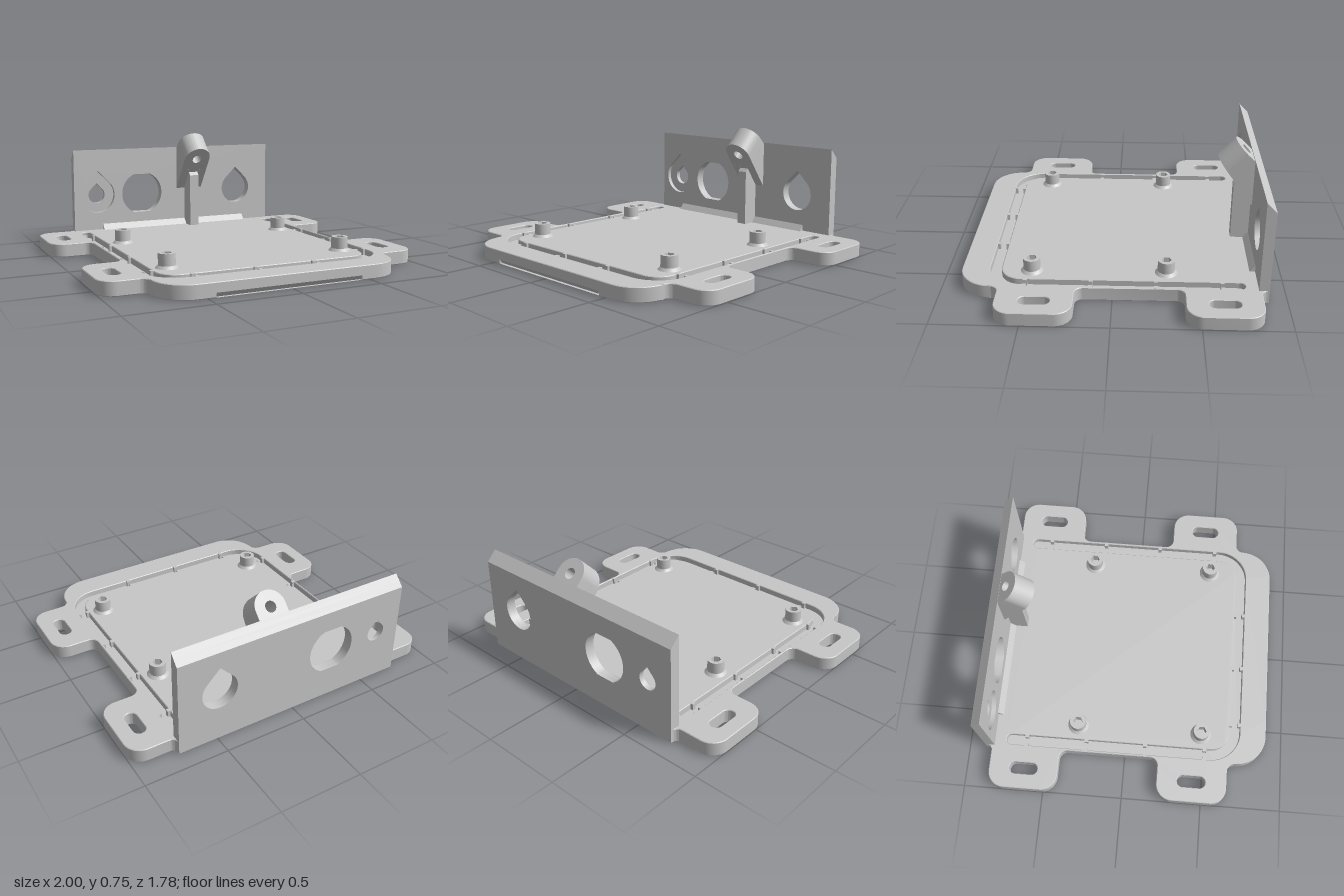
import * as THREE from 'three';
import { toCreasedNormals } from 'three/addons/utils/BufferGeometryUtils.js';

const R2 = Math.SQRT2;
const TOP = 0.084; // upper face of the base plate

// Closed outline with right-angled corners rounded; points are [x, y, radius]
function rounded(points, Type = THREE.Shape) {
  const path = new Type();
  const n = points.length;
  const at = i => new THREE.Vector2(points[(i + n) % n][0], points[(i + n) % n][1]);
  points.forEach(([, , r = 0], i) => {
    const c = at(i);
    const a = at(i - 1).sub(c).setLength(r).add(c);
    const b = at(i + 1).sub(c).setLength(r).add(c);
    if (i === 0) path.moveTo(a.x, a.y); else path.lineTo(a.x, a.y);
    if (r > 0) {
      const p = a.clone().lerp(c, 0.5523), q = b.clone().lerp(c, 0.5523);
      path.bezierCurveTo(p.x, p.y, q.x, q.y, b.x, b.y);
    }
  });
  path.closePath();
  return path;
}

function teardrop(x, y, r) {
  const p = new THREE.Path();
  p.absarc(x, y, r, Math.PI * 0.75, Math.PI * 2.25, false);
  p.lineTo(x, y + r * R2);
  p.closePath();
  return p;
}

function extrude(shape, depth, options = {}) {
  return new THREE.ExtrudeGeometry(shape, { depth, bevelEnabled: false, curveSegments: 12, ...options });
}

// Moves every vertex by a rule
function reshape(geometry, rule) {
  const pos = geometry.attributes.position;
  const v = new THREE.Vector3();
  for (let i = 0; i < pos.count; i++) {
    rule(v.fromBufferAttribute(pos, i));
    pos.setXYZ(i, v.x, v.y, v.z);
  }
  return geometry;
}

// Side profile of [z, y] points, extruded along x around a centre
function sideProfile(points, cx, width) {
  const shape = new THREE.Shape(points.map(p => new THREE.Vector2(...p)));
  return extrude(shape, width).translate(0, 0, -width / 2).rotateY(-Math.PI / 2).translate(cx, 0, 0);
}

// U-shaped channel outline, optionally grown
function channel(Type, e = 0) {
  const o = 0.727 + e, i = 0.66 - e, f = 0.725 + e, g = 0.657 - e, b = -0.758 - e, r = 0.032;
  return rounded([
    [-o, -b, r], [-o, -f, 0.19], [o, -f, 0.19], [o, -b, r],
    [i, -b, r], [i, -g, 0.12], [-i, -g, 0.12], [-i, -b, r],
  ], Type);
}

export function createModel() {
  const model = new THREE.Group();
  const grey = new THREE.MeshStandardMaterial({ color: 0xc7c7c7 });
  grey.name = 'light grey';
  const add = (name, geometry) => {
    const mesh = new THREE.Mesh(toCreasedNormals(geometry, 0.5), grey);
    mesh.name = name;
    model.add(mesh);
  };

  // Base plate with four mounting ears; shape y is -z
  const half = [
    [0.74, 0.89], [0.74, 0.847, 0.035], [1, 0.847, 0.1], [1, 0.413, 0.1],
    [0.74, 0.413, 0.05], [0.74, -0.212, 0.05], [1, -0.212, 0.1], [1, -0.652, 0.1],
    [0.74, -0.652, 0.05], [0.74, -0.89, 0.19], [0.452, -0.89], [0.45, -0.89],
  ];
  const mirrored = half.map(([x, y, r]) => [-x, y, r]).reverse();
  const plate = rounded([...half, ...mirrored]);
  plate.holes.push(channel(THREE.Path));
  for (const x of [-0.873, 0.873]) {
    for (const z of [-0.63, 0.43]) {
      const slot = new THREE.Path();
      slot.absarc(x, -z + 0.052, 0.037, 0, Math.PI, false);
      slot.absarc(x, -z - 0.052, 0.037, Math.PI, Math.PI * 2, false);
      slot.closePath();
      plate.holes.push(slot);
    }
  }
  const b = 0.004;
  const plateGeometry = extrude(plate, TOP - 2 * b, {
    bevelEnabled: true, bevelSegments: 1, bevelThickness: b, bevelSize: b, bevelOffset: -b,
  }).rotateX(-Math.PI / 2).translate(0, b, 0);
  // Slanted relief under the front edge
  add('basePlate', reshape(plateGeometry, v => {
    if (Math.abs(v.x) < 0.451 && v.z > 0.85 && v.y < 0.02) {
      if (v.y < 0.002) v.z = 0.866;
      else v.y = 0.027;
    }
  }));

  // Floor of the gasket channel and its retaining nubs
  add('channelFloor', extrude(channel(THREE.Shape, 0.007), 0.046).rotateX(-Math.PI / 2));
  const nub = (x, z, w, d) => add('channelNub', new THREE.BoxGeometry(w, 0.044, d).translate(x, TOP - 0.022, z));
  for (const offset of [-0.031, 0.031]) {
    for (const z of [-0.63, -0.25, 0.125, 0.505]) {
      for (const side of [-1, 1]) nub(side * 0.6935 + offset, z, 0.026, 0.024);
    }
    for (const x of [-0.487, -0.107, 0.267]) nub(x, 0.691 + offset, 0.024, 0.026);
  }

  // Standoffs: flared foot and post with a hexagonal socket
  for (const x of [-0.565, 0.565]) {
    for (const z of [-0.31, 0.475]) {
      const post = new THREE.Shape().absarc(0, 0, 0.05, 0, Math.PI * 2, false);
      const hex = [0, 1, 2, 3, 4, 5].map(i => {
        const a = (i + 0.5) * Math.PI / 3;
        return new THREE.Vector2(Math.cos(a) * 0.03, Math.sin(a) * 0.03);
      });
      post.holes.push(new THREE.Path(hex));
      add('standoffPost', extrude(post, 0.09).rotateX(-Math.PI / 2).translate(x, 0.08, z));
      add('standoffFoot', new THREE.CylinderGeometry(0.05, 0.067, 0.018, 32).translate(x, TOP + 0.008, z));
    }
  }

  // Back wall in two layers, so the left opening is recessed from the front
  const wallLayer = (name, z, depth, smallTear) => {
    const wall = rounded([[-0.74, 0.004], [0.74, 0.004], [0.74, 0.643], [-0.74, 0.643]]);
    const port = new THREE.Path();
    const a = Math.asin(0.135 / 0.147);
    port.absarc(-0.25, 0.325, 0.147, -a, a, false);
    port.absarc(-0.25, 0.325, 0.147, Math.PI - a, Math.PI + a, false);
    port.closePath();
    wall.holes.push(port, teardrop(0.485, 0.325, 0.11), teardrop(-0.575, 0.325, smallTear));
    add(name, reshape(extrude(wall, depth).translate(0, 0, z), v => {
      if (v.y > 0.6) v.y = 0.643 + (v.z + 0.83) * 1.02;
    }));
  };
  wallLayer('backWallInner', -0.858, 0.028, 0.122);
  wallLayer('backWallOuter', -0.89, 0.032, 0.058);

  // Wedge strip along the foot of the wall
  add('wallFillet', sideProfile([[-0.84, 0.07], [-0.797, 0.07], [-0.797, TOP], [-0.83, 0.122], [-0.84, 0.122]], 0, 1.08));

  // Tilted boss: rounded section swept down and forward to a slanted cut
  const boss = new THREE.Shape();
  boss.moveTo(-0.095, -0.19);
  boss.lineTo(0.095, -0.19);
  boss.absarc(0, -0.095, 0.095, 0, Math.PI, false);
  boss.closePath();
  boss.holes.push(new THREE.Path().absarc(0, -0.095, 0.033, 0, Math.PI * 2, false));
  add('tiltedBoss', reshape(extrude(boss, 1, { curveSegments: 20 }), p => {
    const w = p.z * (0.148 - 0.158 * p.y);
    p.set(0.11 + p.x, 0.745 + (p.y - w) / R2, -0.72 + (p.y + w) / R2);
  }));
  add('bossRoot', sideProfile([[-0.854, 0.611], [-0.854, 0.345], [-0.83, 0.345], [-0.728, 0.485]], 0.11, 0.19));

  // Upright rib beneath the boss
  add('supportRib', sideProfile([
    [-0.84, 0.07], [-0.72, 0.07], [-0.72, 0.445], [-0.742, 0.468], [-0.83, 0.36], [-0.84, 0.36],
  ], 0.108, 0.065));

  return model;
}
